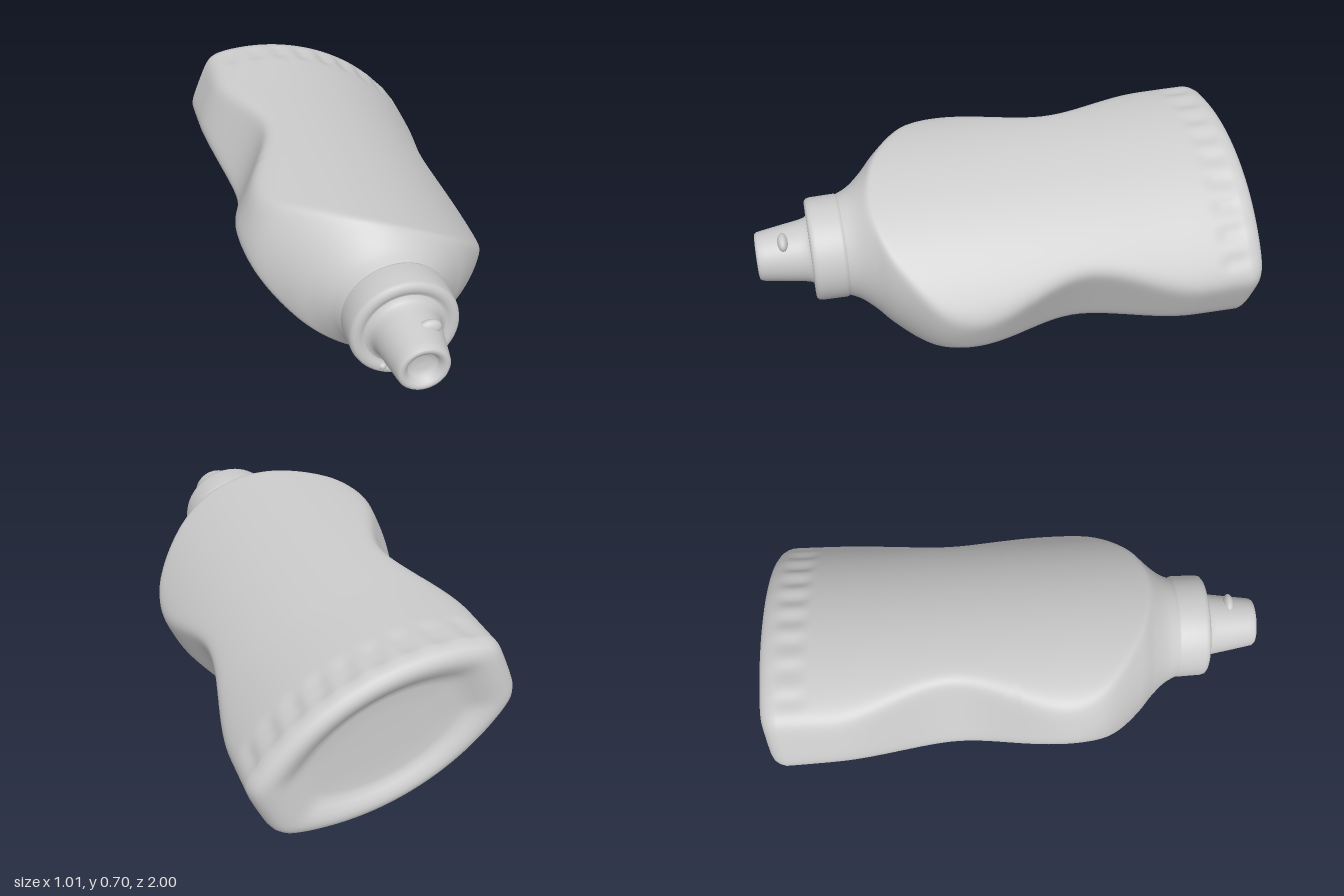
import * as THREE from 'three';

const TILT = -0.41; // the bottle lies rolled onto one of its curved faces
const SEGMENTS = 256;

// Smooth minimum of two radii; a higher sharpness gives a crisper edge
const softMin = (a, b, p) => Math.pow(Math.pow(a, -p) + Math.pow(b, -p), -1 / p);

// Half width across the flat sides: wide at both ends, pinched at the waist
function halfWidth(z) {
  const waist = 0.397;
  return z < -0.26
    ? waist + 0.114 * THREE.MathUtils.smoothstep(-z, 0.26, 0.74)
    : waist + 0.11 * THREE.MathUtils.smoothstep(z, -0.26, 0.19);
}

// Radius of the cross-section: curved faces, flat sides and round shoulder, softly intersected
function sectionRadius(angle, z, shoulder) {
  const c = Math.abs(Math.cos(angle)), s = Math.abs(Math.sin(angle));
  const d = 0.54, arc = d + 0.288 - 0.01 * z + 0.008 * THREE.MathUtils.smoothstep(-z, 0.5, 0.95);
  const face = -d * s + Math.sqrt(arc * arc - d * d * c * c);
  const side = halfWidth(z) / Math.max(c, 1e-4);
  let r = softMin(softMin(face, side, 24), shoulder, 48);

  // Row of shallow grip pockets across the curved faces near the base
  const u = r * Math.cos(angle);
  if (face < side) {
    const across = Math.cos(u / 0.11 * Math.PI) ** 2 *
      (1 - THREE.MathUtils.smoothstep(Math.abs(u), 0.43, 0.48));
    const along = THREE.MathUtils.smoothstep(z, -0.97, -0.89) *
      (1 - THREE.MathUtils.smoothstep(z, -0.86, -0.79));
    r -= 0.009 * across * along;
  }
  return r;
}

function bodyGeometry() {
  // Rings run from the recessed base, over its rim, along the body to the neck
  const rings = [
    [-0.958, 0.001], [-0.958, 0.35], [-0.96, 0.56], [-0.966, 0.63], [-0.979, 0.69],
    [-0.992, 0.75], [-0.999, 0.81], [-1, 0.86], [-0.995, 0.915], [-0.982, 0.957], [-0.962, 0.985],
  ].map(([z, scale]) => ({ z, scale, shoulder: 2 }));
  for (let z = -0.94; z < -0.77; z += 0.0125) rings.push({ z, scale: 1, shoulder: 2 });
  for (let z = -0.76; z < -0.02; z += 0.03) rings.push({ z, scale: 1, shoulder: 2 });
  const shoulderCurve = new THREE.SplineCurve([
    [0, 0.8], [0.1, 0.6], [0.22, 0.525], [0.35, 0.464], [0.48, 0.355],
    [0.55, 0.281], [0.61, 0.23], [0.67, 0.202],
  ].map(([z, r]) => new THREE.Vector2(z, r)));
  for (const q of shoulderCurve.getPoints(70)) rings.push({ z: q.x, scale: 1, shoulder: q.y });

  const positions = [], index = [];
  rings.forEach(({ z, scale, shoulder }, i) => {
    for (let j = 0; j < SEGMENTS; j++) {
      const a = j / SEGMENTS * Math.PI * 2;
      const r = sectionRadius(a, z, shoulder) * scale;
      positions.push(r * Math.cos(a), r * Math.sin(a), z);
      if (i === rings.length - 1) continue;
      const k = (j + 1) % SEGMENTS, n = i * SEGMENTS, m = n + SEGMENTS;
      index.push(n + j, n + k, m + j, n + k, m + k, m + j);
    }
  });
  const g = new THREE.BufferGeometry();
  g.setAttribute('position', new THREE.Float32BufferAttribute(positions, 3));
  g.setIndex(index);
  g.computeVertexNormals();
  return g;
}

export function createModel() {
  const group = new THREE.Group();
  const material = new THREE.MeshStandardMaterial({ color: 0xcccccc });
  const add = (name, geometry) => {
    const mesh = new THREE.Mesh(geometry, material);
    mesh.name = name;
    group.add(mesh);
    return mesh;
  };
  // Lathe turned so that its axis lies along z
  const lathe = (name, profile) => {
    const g = new THREE.LatheGeometry(profile.map(([r, z]) => new THREE.Vector2(r, z)), 64);
    g.rotateX(Math.PI / 2);
    const mesh = add(name, g);
    mesh.position.set(0.005, 0.36, 0);
  };

  // The neck end sits slightly higher than the base
  const body = add('bottleBody', bodyGeometry());
  body.rotation.set(-0.006, 0, TILT);
  body.position.y = 0.356;

  // Screw collar with a softened rim and a shallow moat round the nozzle
  lathe('capCollar', [
    [0.15, 0.645], [0.198, 0.646], [0.207, 0.652], [0.212, 0.665], [0.211, 0.72], [0.21, 0.765],
    [0.206, 0.779], [0.196, 0.787], [0.18, 0.788], [0.168, 0.783], [0.155, 0.776], [0.1, 0.775],
  ]);

  // Tapered nozzle with a filleted foot and a dished tip
  lathe('nozzle', [
    [0.16, 0.774], [0.147, 0.779], [0.137, 0.788], [0.13, 0.802], [0.125, 0.825], [0.115, 0.89],
    [0.103, 0.965], [0.099, 0.988], [0.092, 0.998], [0.082, 1], [0.07, 0.996], [0.06, 0.982],
    [0.052, 0.968], [0.03, 0.962], [0, 0.96],
  ]);

  // Small moulded bumps on the nozzle and collar
  const nub = add('nozzleNub', new THREE.SphereGeometry(1, 24, 16));
  nub.scale.set(0.045, 0.034, 0.022);
  nub.position.set(0.055, 0.45, 0.89);
  const pip = add('collarPip', new THREE.SphereGeometry(0.015, 16, 12));
  pip.position.set(-0.08, 0.205, 0.782);

  return group;
}
